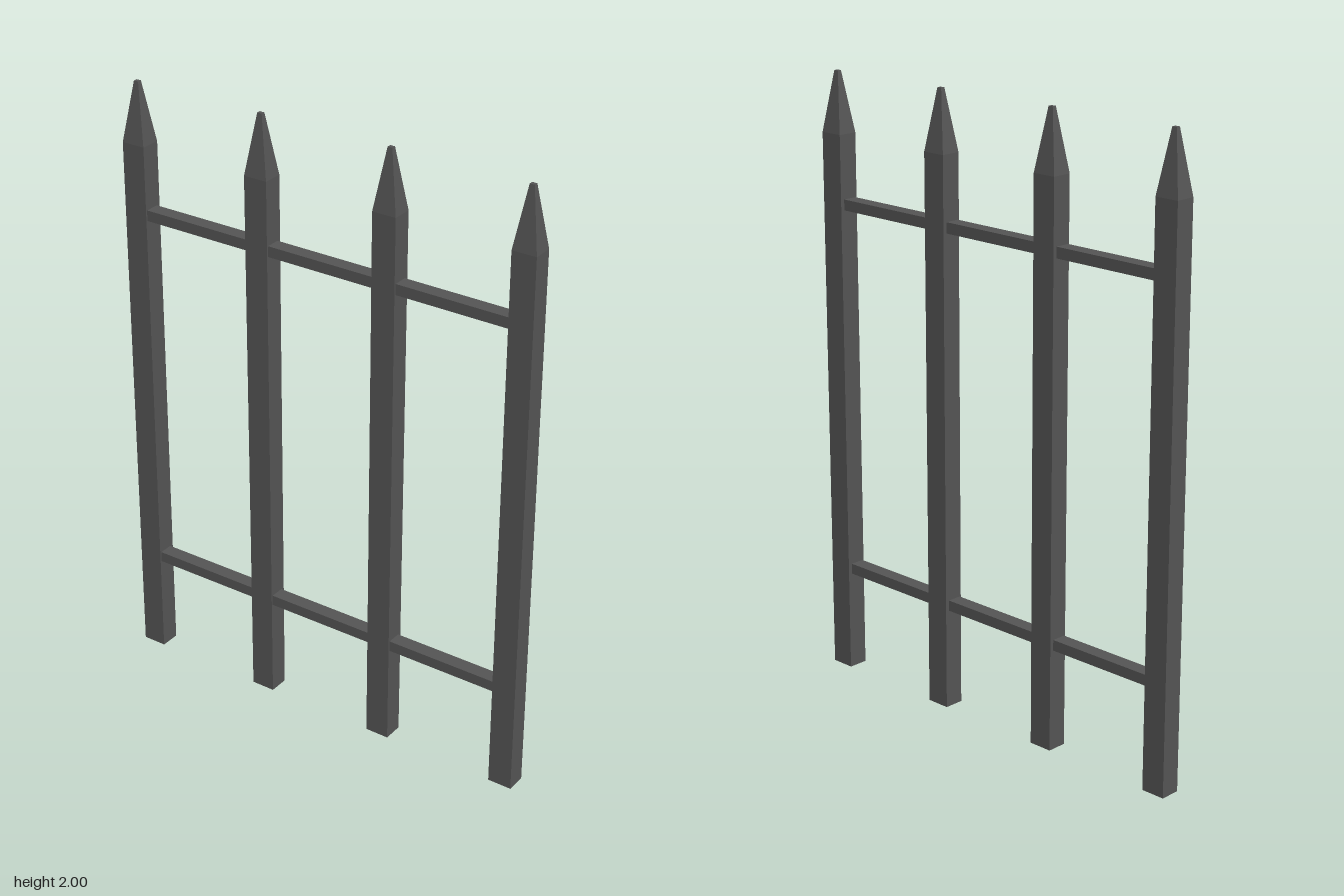
import * as THREE from 'three';

const iron = new THREE.MeshStandardMaterial({ color: 0x555555, flatShading: true, side: THREE.DoubleSide });
iron.name = 'dark iron';

const POST_W = 0.08, POST_D = 0.066;
const POST_X = [-0.684, -0.226, 0.226, 0.684];
const RAIL_H = 0.035, RAIL_D = 0.048;

// Four-sided post with a tapered, slightly blunt tip and an open foot
function postGeometry() {
  const r = Math.SQRT1_2; // corner radius of a unit square
  const profile = [[r, 0], [r, 1.805], [r * 0.2, 2], [0, 2]].map(([x, y]) => new THREE.Vector2(x, y));
  return new THREE.LatheGeometry(profile, 4, Math.PI / 4).scale(POST_W, 1, POST_D);
}

export function createModel() {
  const fence = new THREE.Group();
  fence.name = 'fence';

  const postGeo = postGeometry();
  POST_X.forEach((x, i) => {
    const post = new THREE.Mesh(postGeo, iron);
    post.name = `post${i + 1}`;
    post.position.x = x;
    fence.add(post);
  });

  // Rails run between neighbouring posts, set a little toward the front
  for (const [name, y] of [['lowerRail', 0.35], ['upperRail', 1.581]]) {
    for (let i = 0; i < POST_X.length - 1; i++) {
      const length = POST_X[i + 1] - POST_X[i] - POST_W;
      const rail = new THREE.Mesh(new THREE.BoxGeometry(length, RAIL_H, RAIL_D), iron);
      rail.name = `${name}${i + 1}`;
      rail.position.set((POST_X[i] + POST_X[i + 1]) / 2, y, 0.004);
      fence.add(rail);
    }
  }
  return fence;
}
